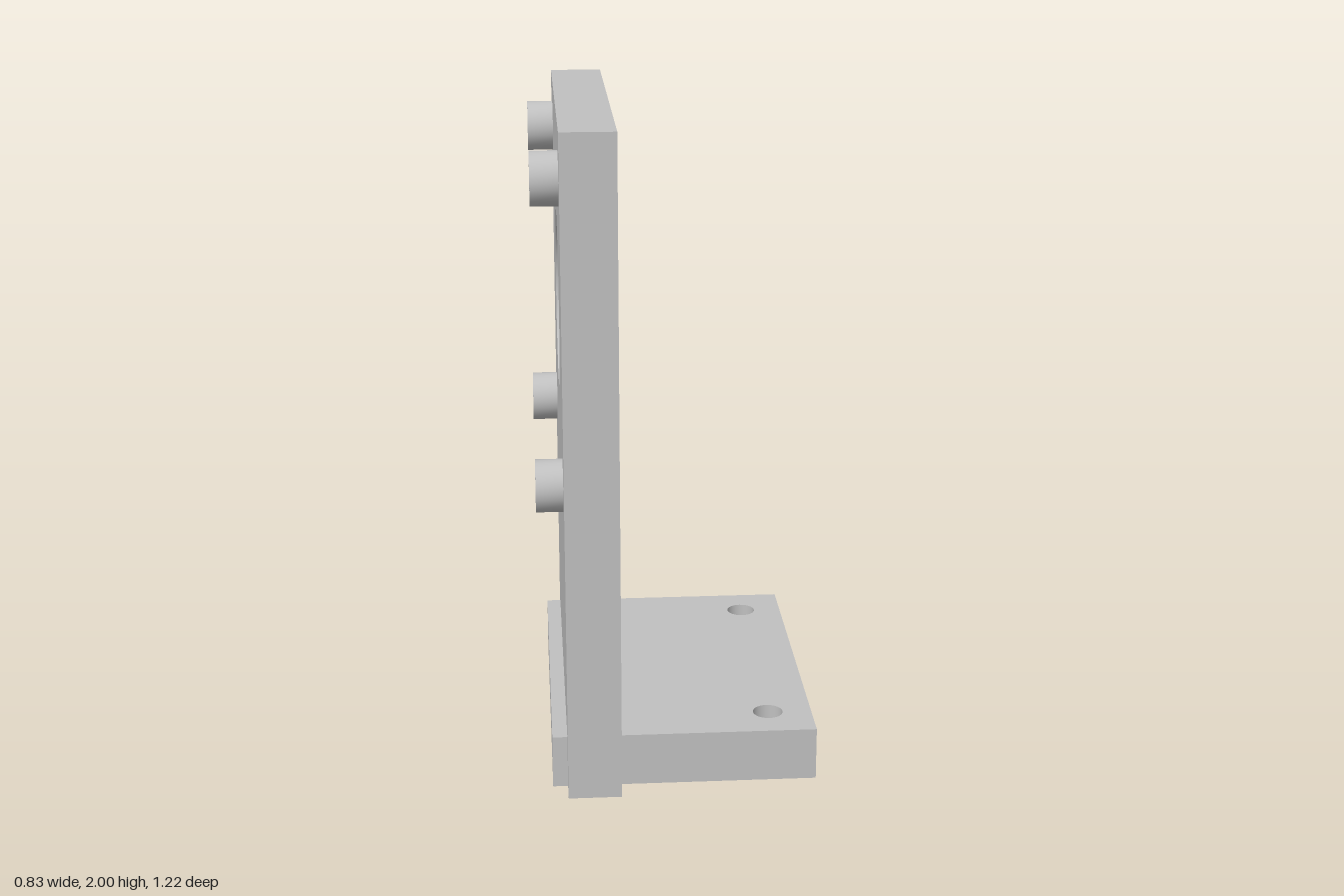
import * as THREE from 'three';
import { toCreasedNormals } from 'three/addons/utils/BufferGeometryUtils.js';

// Extrude an outline with round holes [x, y, radius]; cylinder walls stay smooth, edges sharp
function drilled(outline, holes, depth) {
  for (const [x, y, r] of holes) {
    outline.holes.push(new THREE.Path().absarc(x, y, r, 0, Math.PI * 2, true));
  }
  const geometry = new THREE.ExtrudeGeometry(outline, { depth, bevelEnabled: false, curveSegments: 12 });
  return toCreasedNormals(geometry, 0.6);
}

function rectangle(x0, y0, x1, y1) {
  return new THREE.Shape([[x0, y0], [x1, y0], [x1, y1], [x0, y1]].map(([x, y]) => new THREE.Vector2(x, y)));
}

export function createModel() {
  const group = new THREE.Group();
  const metal = new THREE.MeshStandardMaterial({ color: 0xc0c0c0 });
  metal.name = 'grey metal';

  const add = (name, geometry) => {
    const mesh = new THREE.Mesh(geometry, metal);
    mesh.name = name;
    group.add(mesh);
    return mesh;
  };

  const screwZ = 0.453, screwRows = [0.937, 1.845], screwRadius = 0.033;
  const screws = screwRows.flatMap((y) => [[-screwZ, y], [screwZ, y]]);

  // Upright plate with a large bore and four screw holes
  const plate = drilled(
    rectangle(-0.612, 0, 0.612, 2),
    [[0, 1.39, 0.269], ...screws.map(([z, y]) => [z, y, screwRadius])],
    0.16
  );
  plate.rotateY(Math.PI / 2);
  add('uprightPlate', plate).position.x = -0.34;

  // Base plate, passing through the upright, with two mounting holes
  const base = drilled(rectangle(-0.385, -0.532, 0.415, 0.532), [[0.281, -0.4, 0.046], [0.281, 0.4, 0.046]], 0.163);
  base.rotateX(-Math.PI / 2);
  add('basePlate', base);

  // Hollow spacers on the back of the upright
  const ring = drilled(new THREE.Shape().absarc(0, 0, 0.078, 0, Math.PI * 2), [[0, 0, screwRadius]], 0.08);
  ring.rotateY(Math.PI / 2);
  for (const [z, y] of screws) add('spacer', ring).position.set(-0.42, y, z);

  return group;
}
